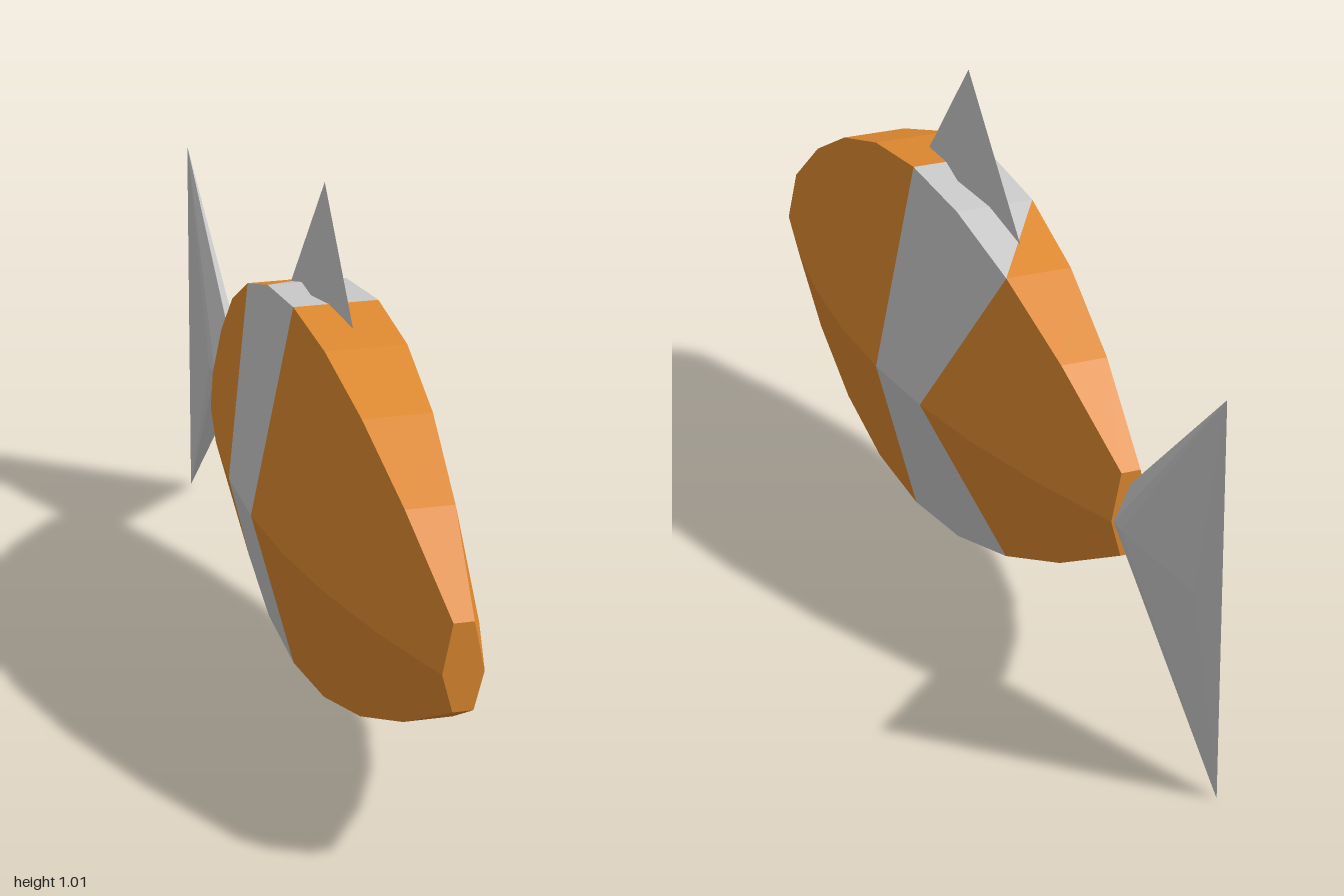
import * as THREE from 'three';
import { ConvexGeometry } from 'three/addons/geometries/ConvexGeometry.js';

const orange = new THREE.MeshStandardMaterial({ color: 0xe08a30, flatShading: true });
const grey = new THREE.MeshStandardMaterial({ color: 0xcccccc, flatShading: true });

function addMesh(group, name, geometry, material) {
  const mesh = new THREE.Mesh(geometry, material);
  mesh.name = name;
  group.add(mesh);
}

function trianglesToGeometry(triangles) {
  const g = new THREE.BufferGeometry().setFromPoints(triangles.flat());
  g.computeVertexNormals();
  return g;
}

const hull = (points) => new ConvexGeometry(points.map((p) => new THREE.Vector3(...p)));

// Hexagonal cross-sections, scaled along the length from snout to tail root
function bodyParts() {
  const section = [[0.083, 0.41], [0.167, 0], [0.083, -0.315], [-0.083, -0.315], [-0.167, 0], [-0.083, 0.41]];
  const scales = [0.23, 0.56, 0.8, 0.95, 1, 0.95, 0.8, 0.56, 0.23];
  const rings = scales.map((s, i) =>
    section.map(([x, y]) => new THREE.Vector3(x * s, 0.39 + y * s, 1 - i * 0.204)));

  const skin = [], band = [];
  for (let i = 0; i < 8; i++) {
    for (let j = 0; j < 6; j++) {
      const k = (j + 1) % 6;
      const a = rings[i][j], b = rings[i][k], c = rings[i + 1][k], d = rings[i + 1][j];
      // The diagonals form the chevron at the rear of the band
      const [first, second] = [1, 4, 5].includes(j)
        ? [[a, b, c], [a, c, d]]
        : [[a, b, d], [b, c, d]];
      (i === 4 || i === 5 ? band : skin).push(first);
      (i === 4 ? band : skin).push(second);
    }
  }
  // Flat snout and tail root
  for (let j = 1; j < 5; j++) {
    skin.push([rings[0][0], rings[0][j + 1], rings[0][j]]);
    skin.push([rings[8][0], rings[8][j], rings[8][j + 1]]);
  }
  return [skin, band].map(trianglesToGeometry);
}

export function createModel() {
  const group = new THREE.Group();
  group.name = 'fish';

  const [skin, band] = bodyParts();
  addMesh(group, 'body', skin, orange);
  addMesh(group, 'bodyBand', band, grey);

  // Dorsal fin: slim pyramid sunk into the back
  addMesh(group, 'dorsalFin', hull([
    [0, 1.015, 0.105], [0, 0.74, 0.343], [0, 0.74, -0.143], [0.031, 0.74, 0.1], [-0.031, 0.74, 0.1],
  ]), grey);

  // Tail fin: diamond root spreading to a tall thin edge, with a ridge on one side
  addMesh(group, 'tailFin', hull([
    [0, 0.46, -0.632], [0.034, 0.39, -0.632], [0, 0.32, -0.632], [-0.034, 0.39, -0.632],
    [0.037, 0.39, -0.67], [-0.037, 0.39, -0.67], [0.026, 0.39, -0.945],
    [0, 0.78, -1], [0, 0, -1],
  ]), grey);

  return group;
}
